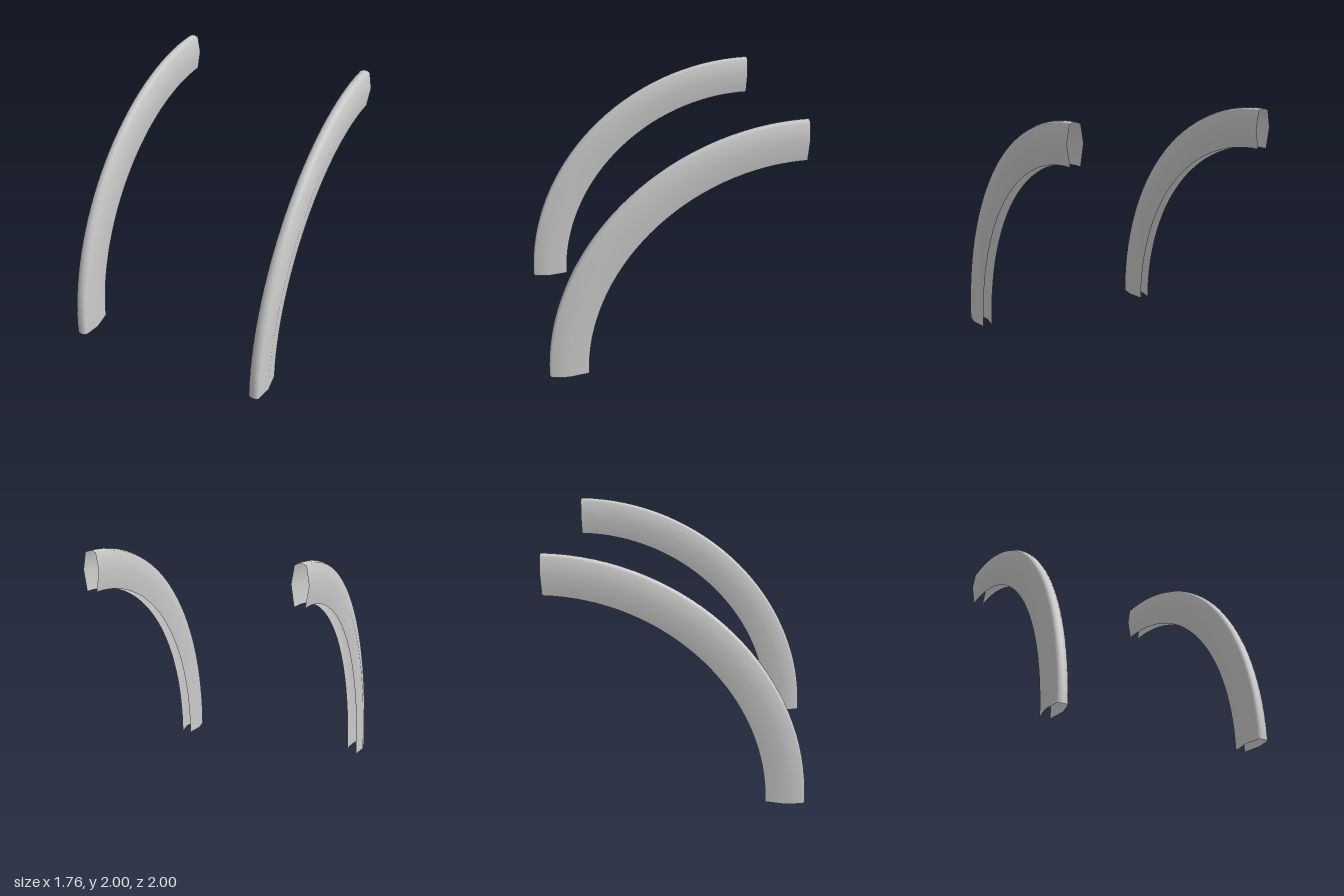
import * as THREE from 'three';

export function createModel() {
  const group = new THREE.Group();
  const material = new THREE.MeshStandardMaterial({ color: 0xcccccc, side: THREE.DoubleSide });

  // Half of the hollow cross-section: [half width, radius], from inner rim to crown
  const half = [[0.04, 1.688], [0.065, 1.85], [0.043, 1.985], [0.02, 1.997]];
  const profile = [
    ...half.map(([w, r]) => new THREE.Vector2(r, -w)),
    new THREE.Vector2(2, 0),
    ...half.slice().reverse().map(([w, r]) => new THREE.Vector2(r, w)),
  ];

  // Quarter turn, with the axle laid along x; open at the ends and the inner rim
  const quarter = new THREE.LatheGeometry(profile, 32, -Math.PI / 2, Math.PI / 2);
  quarter.rotateZ(-Math.PI / 2);

  for (const [name, side] of [['leftTire', 1], ['rightTire', -1]]) {
    const tire = new THREE.Mesh(quarter, material);
    tire.name = name;
    tire.position.set(side * 0.817, 0, -1);
    group.add(tire);
  }
  return group;
}
